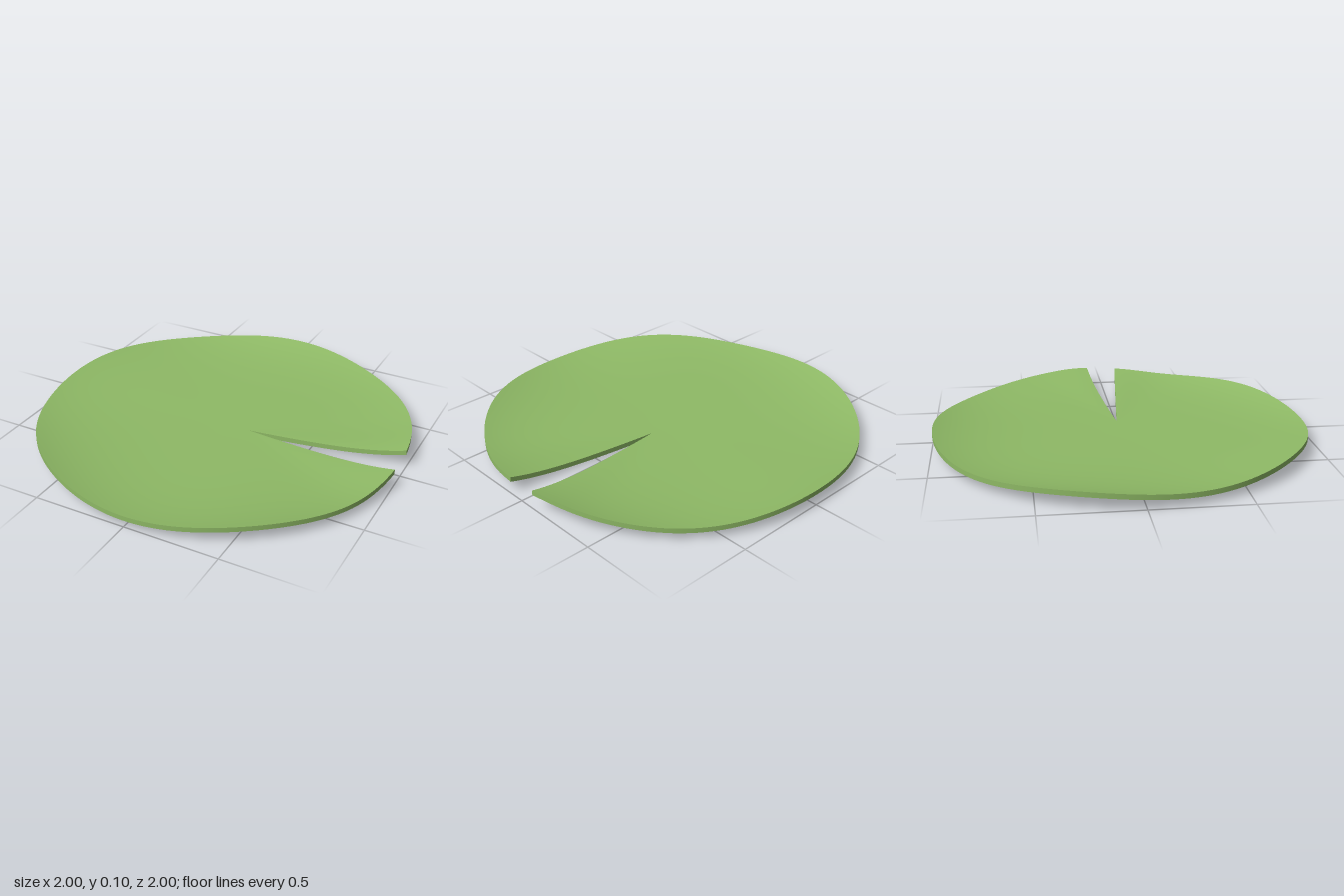
import * as THREE from 'three';

const THICK = 0.026;      // leaf thickness
const APEX = 0.15;        // inner point of the notch on the x axis
const HALF_NOTCH = 0.088; // half angle of the notch at the rim

const rimAngle = (u) => HALF_NOTCH + u * 2 * (Math.PI - HALF_NOTCH);

// Point on the underside: u runs round the rim, t from the notch apex to the rim
function leafPoint(u, t, lift = 0) {
  const phi = rimAngle(u);
  const x = APEX + (Math.cos(phi) - APEX) * t;
  const z = Math.sin(phi) * t;
  const r = Math.hypot(x, z);
  const fromNotch = Math.min(u, 1 - u) * 2 * (Math.PI - HALF_NOTCH);
  const dish = 0.004 * r ** 2 + 0.044 * r ** 5;
  const wave = -0.012 * r ** 4 * Math.sin(5 * Math.atan2(z, x));
  const curl = 0.022 * t ** 1.5 * Math.exp(-((fromNotch / 0.25) ** 2));
  return [x, dish + wave + curl + lift, z];
}

// Grid surface from a function of (u, v); the front faces du x dv unless flipped
function surface(nu, nv, fn, flip) {
  const pos = [], index = [];
  for (let i = 0; i <= nu; i++)
    for (let j = 0; j <= nv; j++) pos.push(...fn(i / nu, j / nv));
  for (let i = 0; i < nu; i++)
    for (let j = 0; j < nv; j++) {
      const a = i * (nv + 1) + j, b = a + nv + 1, c = a + 1, d = b + 1;
      if (flip) index.push(a, c, b, b, c, d);
      else index.push(a, b, c, b, d, c);
    }
  const geo = new THREE.BufferGeometry();
  geo.setAttribute('position', new THREE.Float32BufferAttribute(pos, 3));
  geo.setIndex(index);
  geo.computeVertexNormals();
  return geo;
}

export function createModel() {
  const group = new THREE.Group();
  group.name = 'lilyPad';
  const leafGreen = new THREE.MeshStandardMaterial({ color: 0x8fba66 });
  leafGreen.name = 'leafGreen';

  const add = (name, geo) => {
    const mesh = new THREE.Mesh(geo, leafGreen);
    mesh.name = name;
    group.add(mesh);
  };

  // Upper and lower faces of the leaf
  add('leafTop', surface(160, 32, (u, t) => leafPoint(u, t, THICK), false));
  add('leafUnderside', surface(160, 32, (u, t) => leafPoint(u, t), true));

  // Outer rim
  add('rim', surface(160, 1, (u, v) => leafPoint(u, 1, v * THICK), true));

  // Two sides of the notch
  add('notchWallFront', surface(32, 1, (t, v) => leafPoint(0, t, v * THICK), true));
  add('notchWallBack', surface(32, 1, (t, v) => leafPoint(1, t, v * THICK), false));

  return group;
}
